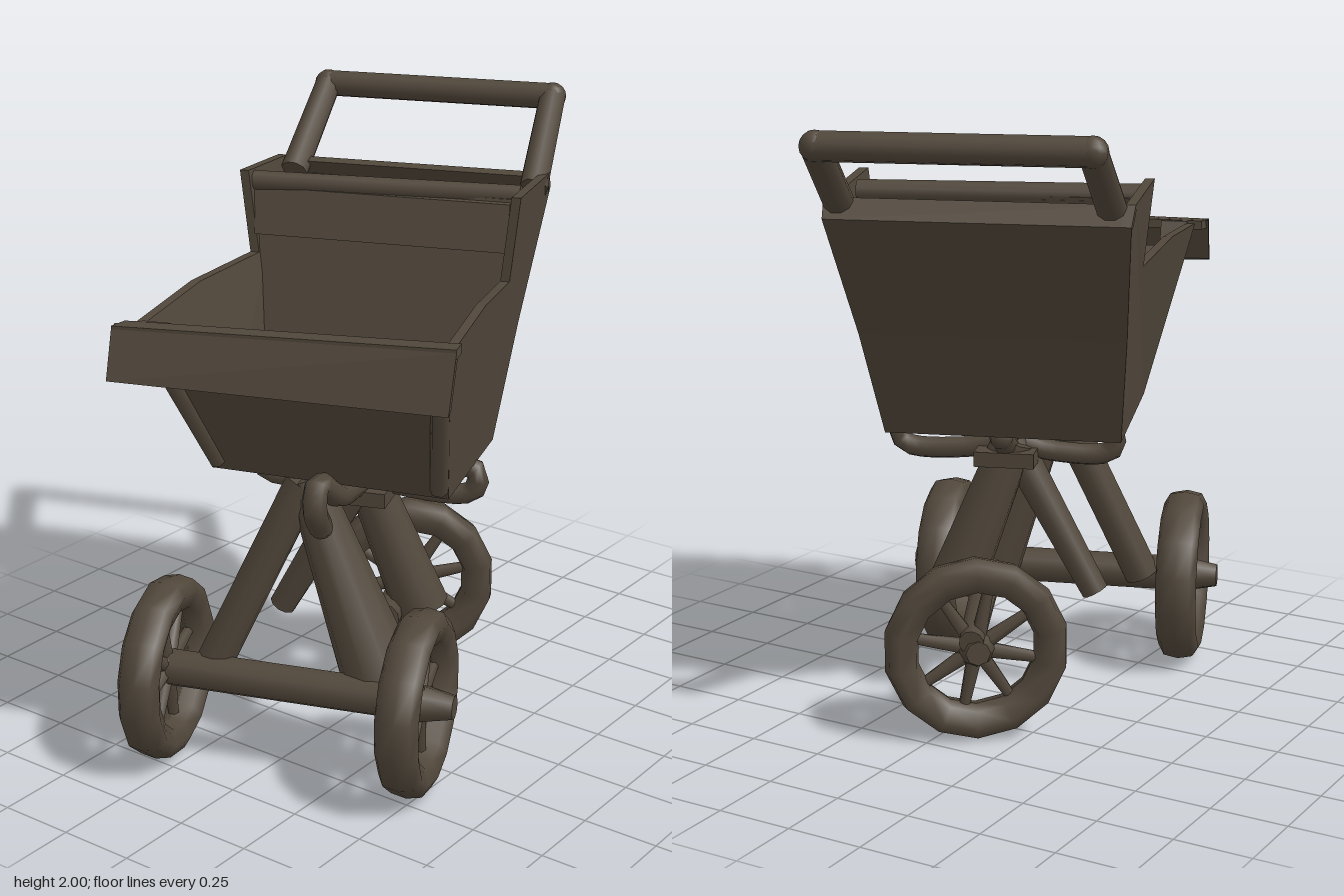
import * as THREE from 'three';
import { ConvexGeometry } from 'three/addons/geometries/ConvexGeometry.js';

const YAW = 0.35; // the carriage stands slightly turned
const V = (x, y, z) => new THREE.Vector3(x, y, z);

export function createModel() {
  const root = new THREE.Group();
  root.name = 'carriage';
  const brown = new THREE.MeshStandardMaterial({ color: 0x51473b });
  brown.name = 'dark brown';

  const add = (parent, name, geometry) => {
    const mesh = new THREE.Mesh(geometry, brown);
    mesh.name = name;
    parent.add(mesh);
    return mesh;
  };

  // Tapered rod between two points
  const rod = (parent, name, a, b, ra, rb = ra, sides = 10) => {
    const dir = b.clone().sub(a);
    const mesh = add(parent, name, new THREE.CylinderGeometry(rb, ra, dir.length(), sides));
    mesh.position.copy(a).addScaledVector(dir, 0.5);
    mesh.quaternion.setFromUnitVectors(V(0, 1, 0), dir.normalize());
    return mesh;
  };

  const pipe = (parent, name, points, r) => {
    const curve = new THREE.CatmullRomCurve3(points.map((p) => V(...p)));
    add(parent, name, new THREE.TubeGeometry(curve, 28, r, 8));
    for (const p of [points[0], points[points.length - 1]]) {
      add(parent, name + 'End', new THREE.SphereGeometry(r, 8, 6)).position.set(...p);
    }
  };

  // Flat board given by four corners and a thickness vector
  const board = (parent, name, corners, t) => {
    const pts = corners.map((p) => V(...p));
    return add(parent, name, new ConvexGeometry([...pts, ...pts.map((p) => p.clone().add(V(...t)))]));
  };

  // ---- Tub: x runs from the foot end (-) to the handle (+) ----
  const tub = new THREE.Group();
  tub.name = 'tub';
  tub.rotation.y = YAW;
  root.add(tub);

  // Side walls flare outwards with height, the right one also towards the foot end
  const edge = (x, y, s) => {
    const t = (y - 0.95) / 0.7;
    return s > 0 ? 0.37 + 0.078 * t : -(0.405 + 0.07 * t + 0.11 * t * Math.max(0, 0.25 - x));
  };
  const footX = (s) => (s > 0 ? -0.45 : -0.4);
  for (const s of [1, -1]) {
    const step = s > 0 ? 0.07 : 0.17;
    const outline = [[footX(s), 0.97], [0.16, 0.94], [0.33, 1.3], [0.58, 1.7], [0.53, 1.76],
      [step, 1.79], [step, 1.515], [-0.27, 1.54], [-0.69, 1.52]];
    const shape = new THREE.Shape(outline.map((p) => new THREE.Vector2(...p)));
    const geo = new THREE.ExtrudeGeometry(shape, { depth: 0.03, bevelEnabled: false });
    const pos = geo.attributes.position;
    for (let i = 0; i < pos.count; i++) {
      const e = edge(pos.getX(i), pos.getY(i), s);
      pos.setZ(i, pos.getZ(i) + (s > 0 ? e - 0.03 : e));
    }
    geo.computeVertexNormals();
    add(tub, s > 0 ? 'leftSide' : 'rightSide', geo);
  }

  // Cross walls between the sides
  const cross = (name, x0, y0, x1, y1, t) => board(tub, name, [
    [x0, y0, edge(x0, y0, 1)], [x0, y0, edge(x0, y0, -1)],
    [x1, y1, edge(x1, y1, 1)], [x1, y1, edge(x1, y1, -1)]], t);
  cross('floor', -0.4, 0.97, 0.16, 0.94, [0, 0.03, 0]);
  cross('lowerBack', 0.16, 0.94, 0.33, 1.3, [-0.03, 0.01, 0]);
  cross('upperBack', 0.33, 1.3, 0.58, 1.7, [-0.03, 0.01, 0]);
  cross('backLip', 0.58, 1.7, 0.53, 1.76, [-0.03, -0.01, 0]);

  // Foot wall, with a gap left open near its top on the right
  board(tub, 'footWall', [[-0.45, 0.97, 0.37], [-0.4, 0.97, -0.4],
    [-0.66, 1.44, 0.42], [-0.65, 1.44, -0.5]], [0.03, 0.01, 0]);
  for (const [a, b] of [[0.43, -0.17], [-0.43, -0.52]]) {
    board(tub, 'footWallTop', [[-0.66, 1.44, a], [-0.66, 1.44, b], [-0.7, 1.53, a], [-0.7, 1.53, b]], [0.035, 0, 0]);
  }

  // Padded seat back inside the tub
  board(tub, 'seatBack', [[0.23, 1.74, 0.42], [0.23, 1.74, -0.46],
    [0.05, 0.97, 0.36], [0.05, 0.97, -0.4]], [0.04, 0, 0]);
  board(tub, 'seatPad', [[0.2, 1.73, 0.4], [0.2, 1.73, -0.46],
    [0.16, 1.58, 0.4], [0.16, 1.58, -0.45]], [0.07, 0, 0]);
  rod(tub, 'seatBackRoll', V(0.27, 1.745, 0.42), V(0.22, 1.745, -0.47), 0.035);

  // Sloping board over the foot end
  board(tub, 'footFlap', [[-0.7, 1.55, 0.46], [-0.71, 1.53, -0.59],
    [-0.745, 1.37, 0.45], [-0.765, 1.385, -0.59]], [-0.03, -0.01, 0]);
  board(tub, 'footFlapTop', [[-0.67, 1.55, 0.46], [-0.68, 1.53, -0.57],
    [-0.73, 1.55, 0.46], [-0.74, 1.53, -0.59]], [0, -0.03, 0]);
  for (const s of [1, -1]) {
    const at = (x, y) => V(x, y, edge(x, y, s) - s * 0.03);
    rod(tub, 'footPost', at(footX(s) - 0.01, 1), at(-0.68, 1.49), 0.03, 0.03, 6);
  }

  // Push handle
  const grip = [V(0.835, 1.95, 0.4), V(0.835, 1.95, -0.4)];
  rod(tub, 'handleBar', grip[0], grip[1], 0.045);
  for (const p of grip) {
    add(tub, 'handleCorner', new THREE.SphereGeometry(0.047, 10, 8)).position.copy(p);
    rod(tub, 'handleArm', V(0.48, 1.715, p.z * 1.04), p, 0.048, 0.045);
  }

  // Curled springs under the tub
  pipe(tub, 'crossSpring', [[-0.08, 0.94, 0.3], [-0.08, 0.92, 0.375], [-0.08, 0.85, 0.36], [-0.08, 0.84, 0.15],
    [-0.08, 0.87, 0], [-0.08, 0.84, -0.15], [-0.08, 0.85, -0.34], [-0.08, 0.92, -0.35], [-0.08, 0.94, -0.28]], 0.036);
  pipe(tub, 'longSpring', [[-0.47, 0.84, -0.03], [-0.53, 0.92, -0.03], [-0.5, 0.99, -0.03],
    [-0.39, 0.92, 0], [-0.22, 0.88, 0], [-0.05, 0.86, 0], [0.08, 0.92, 0]], 0.04);
  add(tub, 'springPlate', new THREE.BoxGeometry(0.24, 0.05, 0.2)).position.set(-0.08, 0.83, 0);

  // ---- Undercarriage ----
  const base = new THREE.Group();
  base.name = 'undercarriage';
  root.add(base);

  // Broad tire cross-section: radius, half width
  const tireProfile = [[0.19, 0], [0.2, -0.05], [0.255, -0.07], [0.29, -0.05], [0.3, 0],
    [0.29, 0.05], [0.255, 0.07], [0.2, 0.05], [0.19, 0]].map((p) => new THREE.Vector2(...p));

  const makeWheel = (name, x, z, yaw, hubBack, hubFront) => {
    const wheel = new THREE.Group();
    wheel.name = name;
    wheel.position.set(x, 0.3, z);
    wheel.rotation.y = yaw;
    base.add(wheel);
    add(wheel, 'tire', new THREE.LatheGeometry(tireProfile, 14)).rotation.x = Math.PI / 2;
    rod(wheel, 'hubBack', V(0, 0, 0), V(0, 0, -hubBack), 0.065, 0.04, 8);
    rod(wheel, 'hubFront', V(0, 0, 0), V(0, 0, hubFront), 0.065, 0.04, 8);
    for (let i = 0; i < 8; i++) {
      const a = (i * Math.PI) / 4 + 0.2;
      rod(wheel, 'spoke', V(0, 0, 0), V(Math.cos(a) * 0.21, Math.sin(a) * 0.21, 0), 0.028, 0.018, 6);
    }
  };
  makeWheel('leftWheel', -0.388, 0.46, YAW, 0.08, 0.12);
  makeWheel('rightWheel', -0.66, -0.34, YAW, 0.12, 0.08);
  makeWheel('swivelWheel', 0.365, -0.105, -0.91, 0.06, 0.1);

  // Axle and spread legs of the wheel pair
  rod(base, 'pairAxle', V(-0.388, 0.3, 0.46), V(-0.66, 0.3, -0.34), 0.06);
  rod(base, 'leftLeg', V(-0.34, 0.3, 0.29), V(-0.39, 0.96, 0.03), 0.125, 0.065);
  rod(base, 'rightLeg', V(-0.58, 0.3, -0.22), V(-0.4, 0.95, 0.03), 0.06, 0.06);

  // Post, hanging strut and beam of the single wheel
  rod(base, 'swivelPost', V(0.06, 0.38, 0.16), V(-0.05, 0.88, 0), 0.095, 0.07);
  rod(base, 'swivelStrut', V(-0.17, 0.36, -0.25), V(-0.08, 0.87, 0.02), 0.045, 0.06);
  rod(base, 'swivelBeam', V(-0.11, 0.39, 0.13), V(0.42, 0.335, -0.12), 0.05, 0.04);

  return root;
}
